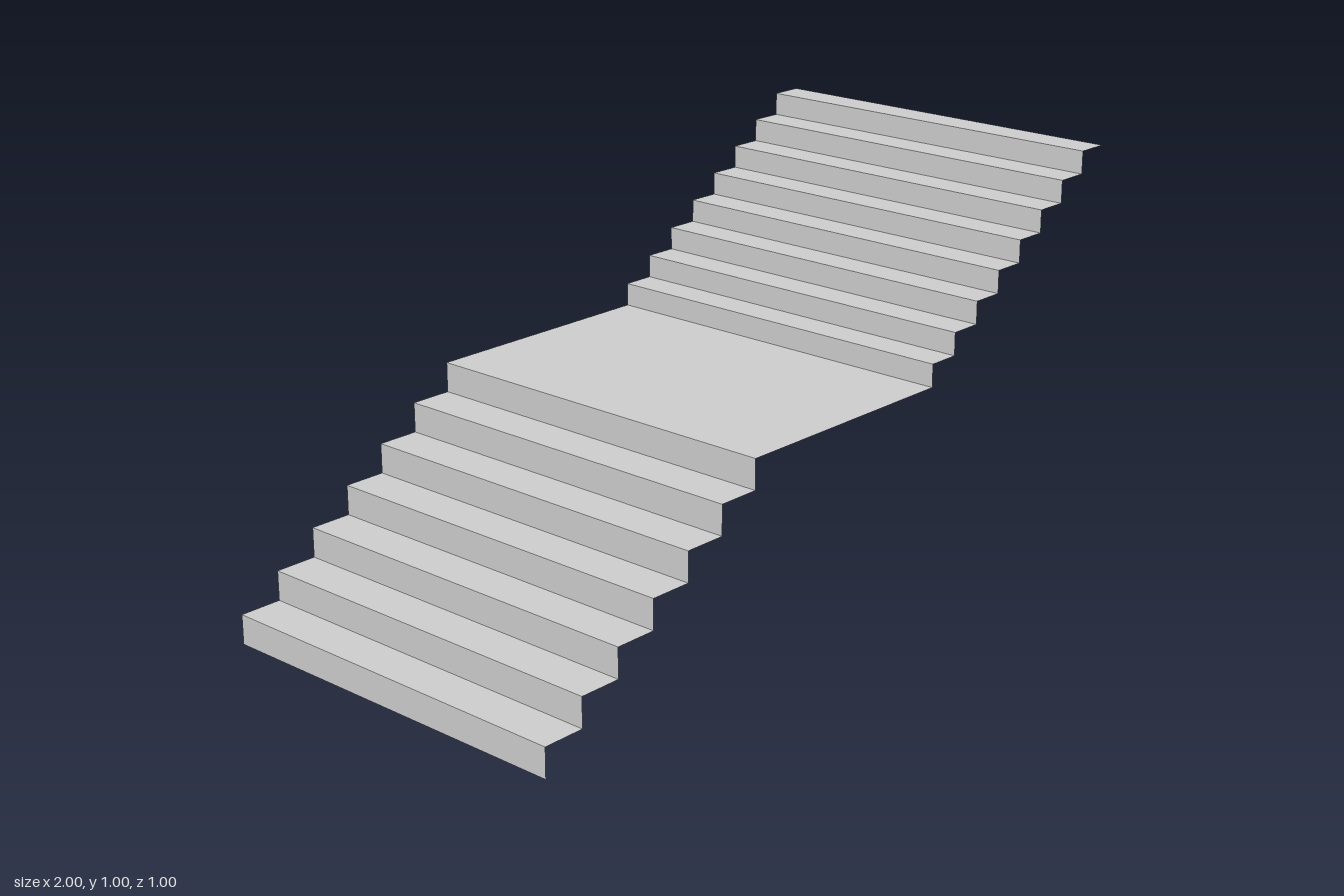
import * as THREE from 'three';

const WIDTH = 1;
const material = new THREE.MeshStandardMaterial({ color: 0xcccccc, side: THREE.DoubleSide, flatShading: true });

// Horizontal sheet from x0 to x1 at height y
function tread(name, x0, x1, y) {
  const mesh = new THREE.Mesh(new THREE.PlaneGeometry(x1 - x0, WIDTH).rotateX(-Math.PI / 2), material);
  mesh.position.set((x0 + x1) / 2, y, 0);
  mesh.name = name;
  return mesh;
}

// Vertical sheet at x, facing down the stairs (-x)
function riser(name, x, y0, y1) {
  const mesh = new THREE.Mesh(new THREE.PlaneGeometry(WIDTH, y1 - y0).rotateY(-Math.PI / 2), material);
  mesh.position.set(x, (y0 + y1) / 2, 0);
  mesh.name = name;
  return mesh;
}

// Flight climbing towards +x: every riser is followed by a tread, up to the given counts
function flight(name, x, y, risers, treads, run, rise) {
  const group = new THREE.Group();
  group.name = name;
  for (let i = 0; i < risers; i++) {
    group.add(riser(`riser${i + 1}`, x + i * run, y + i * rise, y + (i + 1) * rise));
    if (i < treads) group.add(tread(`tread${i + 1}`, x + i * run, x + (i + 1) * run, y + (i + 1) * rise));
  }
  return group;
}

export function createModel() {
  const model = new THREE.Group();
  model.name = 'staircase';
  const landingStart = -1 / 3, landingEnd = 0.314, landingY = 0.53;

  // Lower flight: its last riser meets the landing
  model.add(flight('lowerFlight', -1, 0, 7, 6, (landingStart + 1) / 6, landingY / 7));
  model.add(tread('landing', landingStart, landingEnd, landingY));
  // Upper flight: ends on a top tread
  model.add(flight('upperFlight', landingEnd, landingY, 8, 8, (1 - landingEnd) / 8, (1 - landingY) / 8));
  return model;
}
